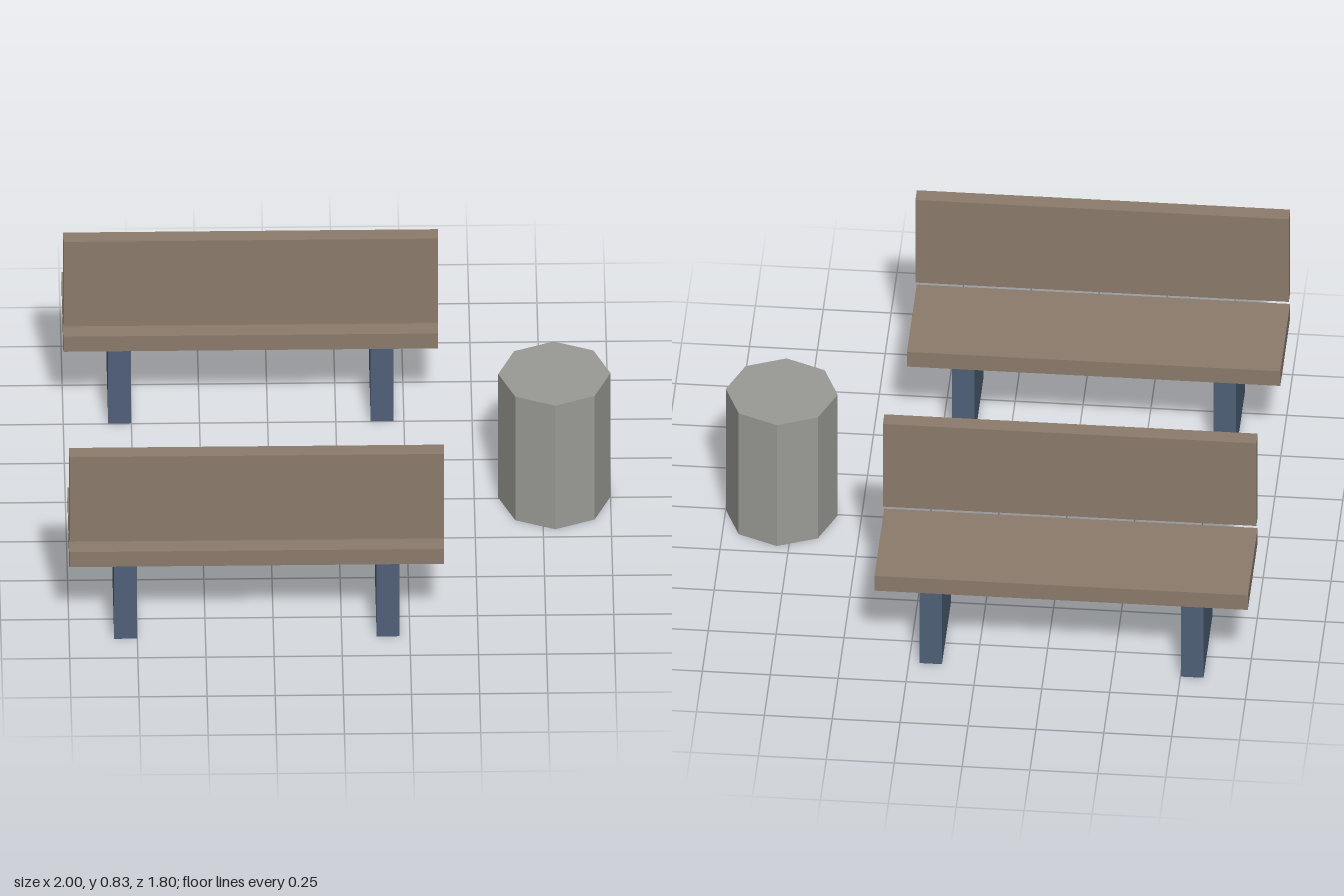
import * as THREE from 'three';

const wood = new THREE.MeshStandardMaterial({ color: 0x8b7b6b, flatShading: true });
const blue = new THREE.MeshStandardMaterial({ color: 0x4f5f78, flatShading: true });
const stone = new THREE.MeshStandardMaterial({ color: 0x9a9a95, flatShading: true });

// Box given by its min and max along each axis
function box(name, material, [x0, x1], [y0, y1], [z0, z1]) {
  const mesh = new THREE.Mesh(new THREE.BoxGeometry(x1 - x0, y1 - y0, z1 - z0), material);
  mesh.position.set((x0 + x1) / 2, (y0 + y1) / 2, (z0 + z1) / 2);
  mesh.name = name;
  return mesh;
}

// Bench facing -z, its backrest on the +z side
function createBench(name, z) {
  const bench = new THREE.Group();
  bench.name = name;
  const length = [-1, 0.375];
  bench.add(
    box('seat', wood, length, [0.335, 0.402], [-0.208, 0.207]),
    box('backrest', wood, length, [0.452, 0.83], [0.152, 0.212]),
    box('rightLeg', blue, [-0.835, -0.752], [0, 0.335], [-0.189, 0.189]),
    box('leftLeg', blue, [0.128, 0.211], [0, 0.335], [-0.189, 0.189])
  );
  bench.position.z = z;
  return bench;
}

export function createModel() {
  const model = new THREE.Group();
  model.name = 'benchesAndBin';
  model.add(createBench('frontBench', 0.688), createBench('backBench', -0.692));

  // Eight-sided closed bin beside the benches
  const bin = new THREE.Mesh(new THREE.CylinderGeometry(0.206, 0.206, 0.553, 8), stone);
  bin.name = 'bin';
  bin.position.set(0.794, 0.2765, -0.005);
  model.add(bin);
  return model;
}
